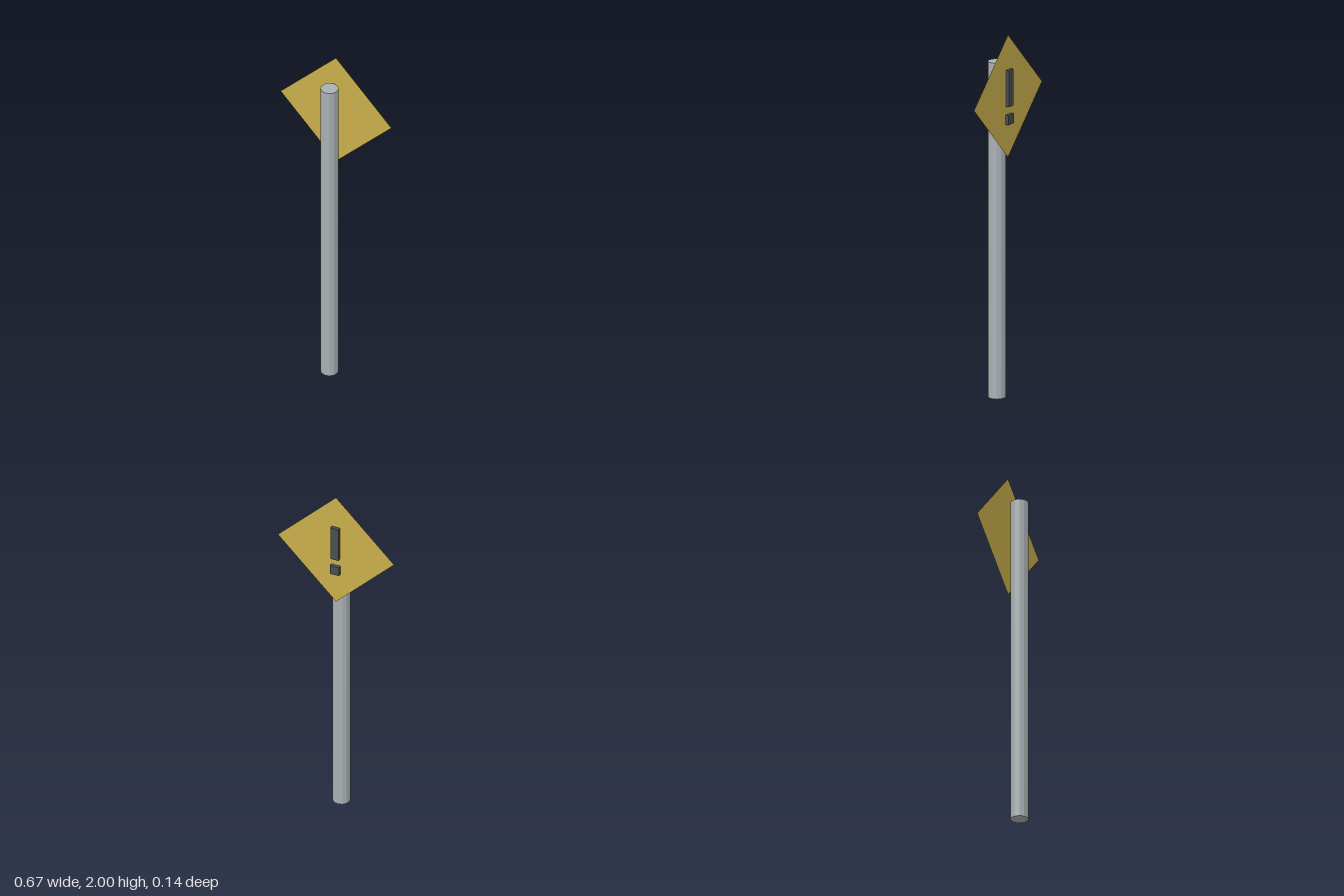
import * as THREE from 'three';

export function createModel() {
  const group = new THREE.Group();

  const material = (name, color, options = {}) =>
    Object.assign(new THREE.MeshStandardMaterial({ color, ...options }), { name });
  const poleGrey = material('pole grey', 0xaab1b4, { flatShading: true });
  const signYellow = material('sign yellow', 0xc9ae4b, { side: THREE.DoubleSide });
  const markDark = material('mark dark grey', 0x484e52, { flatShading: true });

  const add = (name, geometry, mat, x, y, z) => {
    const mesh = new THREE.Mesh(geometry, mat);
    mesh.name = name;
    mesh.position.set(x, y, z);
    group.add(mesh);
    return mesh;
  };

  // Twelve-sided pole, closed at both ends
  add('pole', new THREE.CylinderGeometry(0.048, 0.048, 1.845, 12), poleGrey, 0, 0.9225, 0.02);

  // Thin diamond plate behind the pole, facing backwards
  const plate = add('signPlate', new THREE.CircleGeometry(0.337, 4), signYellow, 0, 1.663, -0.049);
  plate.rotation.y = Math.PI;

  // Raised warning mark: long bar above a short dot
  add('warningBar', new THREE.BoxGeometry(0.047, 0.2, 0.02), markDark, 0, 1.71, -0.06);
  add('warningDot', new THREE.BoxGeometry(0.052, 0.053, 0.02), markDark, 0, 1.5385, -0.06);

  return group;
}
